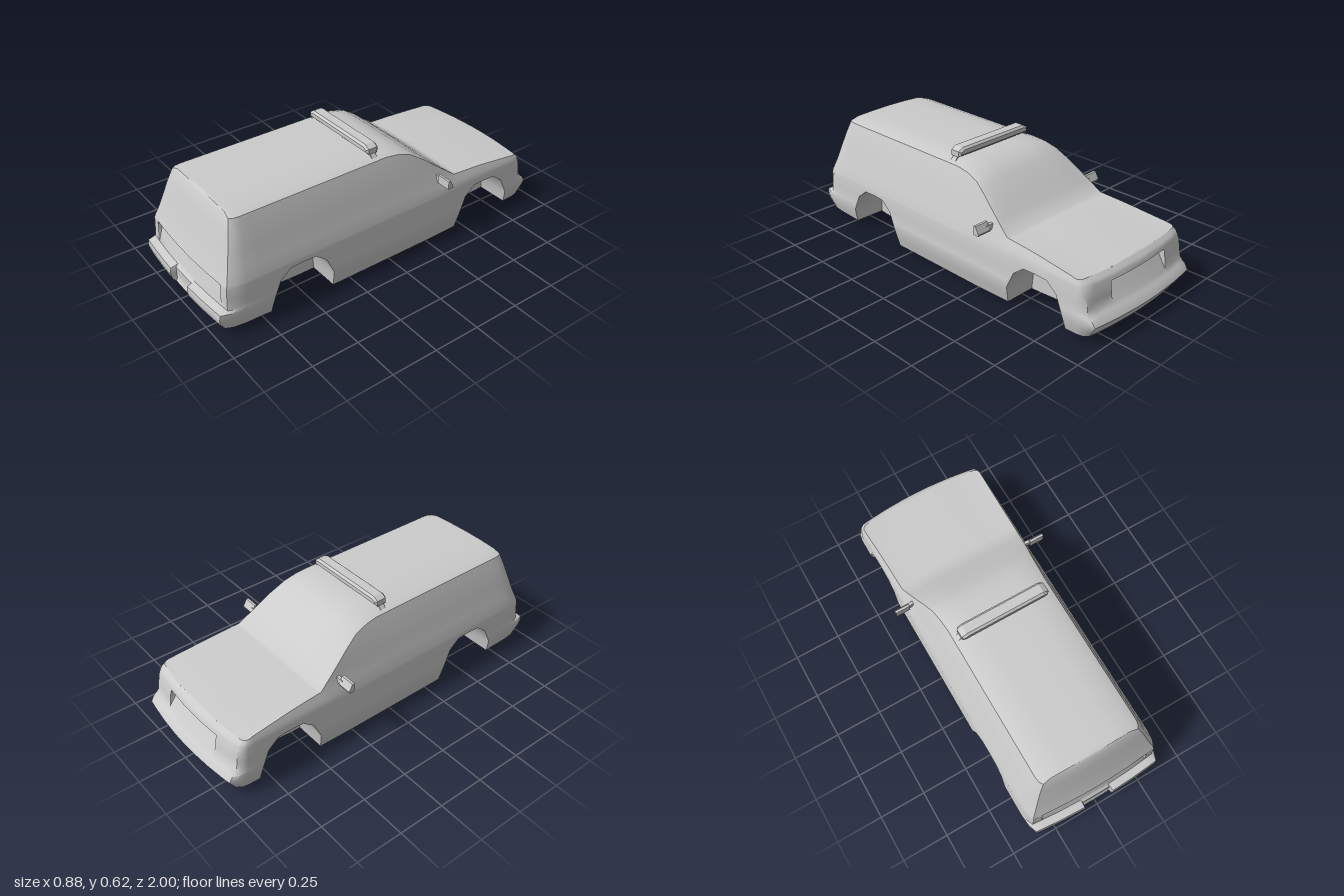
import * as THREE from 'three';
import { toCreasedNormals } from 'three/addons/utils/BufferGeometryUtils.js';

const material = new THREE.MeshStandardMaterial({ color: 0xcccccc, side: THREE.DoubleSide });

// Piecewise linear lookup in a table of [key, value] with rising keys
function lookup(table, k) {
  if (k <= table[0][0]) return table[0][1];
  for (let i = 1; i < table.length; i++) {
    const [a, va] = table[i - 1], [b, vb] = table[i];
    if (k <= b) return va + (vb - va) * (k - a) / (b - a);
  }
  return table[table.length - 1][1];
}

// Half width of the body by height
const WIDTH = [[0, .355], [.05, .368], [.09, .378], [.13, .38], [.16, .376], [.25, .373], [.28, .369],
  [.3, .362], [.34, .345], [.46, .312], [.545, .282], [.575, .262]];
// Roof, windscreen and hood line along z
const TOP = [[-.9, .304], [-.83, .312], [-.6, .335], [-.43, .345], [-.36, .4], [-.25, .49], [-.17, .545],
  [-.1, .567], [-.03, .575], [.84, .575]];
const FLOOR = [[-.97, .038], [-.5, .008], [-.25, 0], [.5, 0], [.97, .045]];
// Tailgate and nose outlines by height
const TAIL = [[.045, .97], [.06, .99], [.1, 1], [.13, .995], [.14, .955], [.257, .948], [.3, .93], [.56, .852], [.575, .84]];
const NOSE = [[.03, -.955], [.06, -.975], [.1, -1], [.12, -.995], [.15, -.955], [.25, -.938], [.28, -.927], [.304, -.9]];
const ARCH = [[-.18, 0], [-.17, .1], [-.13, .19], [-.07, .237], [0, .24], [.07, .237], [.13, .19], [.17, .1], [.18, 0]];
const ARCH_Z = [.53, -.63];
const BELT = .27, WELL_X = .19;
const LOW = [.257, .25, .2, .16, .14, .13, .1, .065, .05, 0];

const archHeight = z => Math.max(...ARCH_Z.map(c => lookup(ARCH, z - c)));

// Half cross-section, from the roof centre down the side and in to the floor centre
function halfSection(z) {
  const top = lookup(TOP, z), floor = lookup(FLOOR, z);
  const low = Math.max(floor, archHeight(z));
  const w = lookup(WIDTH, top);
  const p = [[0, top], [w * .5, top - .002], [w - .03, top - .006]];
  for (const f of [.93, .7, .45, .2, 0]) {
    const y = BELT + (top - BELT) * f;
    p.push([lookup(WIDTH, y), y]);
  }
  for (const l of LOW) {
    const y = Math.max(l, low);
    p.push([lookup(WIDTH, y), y]);
  }
  p.push([WELL_X, low], [WELL_X, floor], [0, floor]);
  return p;
}

// Surface from a grid of points, skipping collapsed triangles
function grid(rows, flip, out) {
  const tri = (a, b, c) => {
    const area = b.clone().sub(a).cross(c.clone().sub(a)).length();
    if (area > 1e-8) for (const v of flip ? [a, c, b] : [a, b, c]) out.push(v.x, v.y, v.z);
  };
  for (let j = 0; j + 1 < rows.length; j++) {
    for (let i = 0; i + 1 < rows[j].length; i++) {
      const a = rows[j][i], b = rows[j][i + 1], c = rows[j + 1][i + 1], d = rows[j + 1][i];
      tri(a, b, c);
      tri(a, c, d);
    }
  }
}

function bodyGeometry() {
  const out = [];
  const endZ = (tail, x, y) => tail
    ? lookup(TAIL, y) - .02 * (x / .36) ** 2
    : lookup(NOSE, y) + .03 * (x / .36) ** 2;
  const ring = half => [...half, ...half.slice(0, -1).reverse().map(v => new THREE.Vector3(-v.x, v.y, v.z))];

  // End columns bend towards the outline of the tail or the nose
  const endColumn = (tail, t, scale) => {
    const z0 = tail ? .75 : -.83, zRef = tail ? .84 : -.9;
    return halfSection(z0 + (zRef - z0) * t).map(([x, y]) =>
      new THREE.Vector3(x * scale, y, z0 + (endZ(tail, x * scale, y) - z0) * t));
  };
  const steps = [[1, .94], [.8, .985], [.5, 1]];

  const zs = [.2, .05, -.03, -.1, -.17, -.21, -.25, -.3, -.36, -.43, .75, -.83];
  for (const c of ARCH_Z) for (const [d] of ARCH) zs.push(c + d);
  zs.sort((a, b) => b - a);
  const columns = [
    ...steps.map(([t, s]) => endColumn(true, t, s)),
    ...zs.map(z => halfSection(z).map(([x, y]) => new THREE.Vector3(x, y, z))),
    ...steps.reverse().map(([t, s]) => endColumn(false, t, s)),
  ];
  grid(columns.map(ring), false, out);

  // Closed ends with the tailgate panel, plate pocket and grille recess
  const halfF = [0, .22, .235, .56, .575, .85, .865, 1];
  const fs = [...halfF.slice(1).reverse().map(f => -f), ...halfF];
  for (const tail of [true, false]) {
    const edge = (tail ? columns[0] : columns[columns.length - 1]).slice(0, -3);
    const rows = edge.map(e => fs.map(f => {
      const x = e.x * f, y = e.y, a = Math.abs(f);
      let z = endZ(tail, x, y);
      if (tail && a < .86 && y > .145 && y < .255) z -= .025 * (y - .14) / .11;
      if (tail && a < .23 && y > .06 && y < .135) z = .968;
      if (!tail && a < .57 && y > .17 && y < .255) z += .04 * (y - .16) / .09;
      return new THREE.Vector3(x, y, z);
    }));
    grid(rows, tail, out);
    // grid() winds across rows, so the tail is flipped to face +z
  }

  const g = new THREE.BufferGeometry();
  g.setAttribute('position', new THREE.Float32BufferAttribute(out, 3));
  return toCreasedNormals(g, .7);
}

function polygon(points) {
  return new THREE.Shape(points.map(([x, y]) => new THREE.Vector2(x, y)));
}

function addMesh(parent, name, geometry) {
  const mesh = new THREE.Mesh(geometry, material);
  mesh.name = name;
  parent.add(mesh);
  return mesh;
}

export function createModel() {
  const model = new THREE.Group();
  model.name = 'wagonBody';
  addMesh(model, 'bodyShell', bodyGeometry());

  // Roof light bar with sloped ends
  const bar = new THREE.ExtrudeGeometry(
    polygon([[-.232, .592], [.232, .592], [.232, .603], [.212, .614], [-.212, .614], [-.232, .603]]),
    { depth: .05, bevelThickness: .011, bevelSize: .011, bevelSegments: 1 });
  addMesh(model, 'lightBar', bar).position.z = 0;

  // Door mirrors, their arms and the light bar feet
  for (const [side, s] of [['left', 1], ['right', -1]]) {
    const housing = new THREE.ExtrudeGeometry(
      polygon([[.305, .343], [.335, .343], [.338, .352], [.318, .39], [.305, .39]]),
      { depth: .078, bevelEnabled: false });
    housing.rotateY(Math.PI / 2).translate(s > 0 ? .362 : -.44, 0, 0);
    addMesh(model, side + 'Mirror', housing);

    const arm = new THREE.BoxGeometry(.05, .03, .016);
    addMesh(model, side + 'MirrorArm', arm).position.set(s * .352, .36, -.322);

    const foot = addMesh(model, side + 'BarFoot', new THREE.BoxGeometry(.005, .035, .03));
    foot.position.set(s * .243, .573, .025);
    foot.rotation.z = s * .7;
  }
  return model;
}
